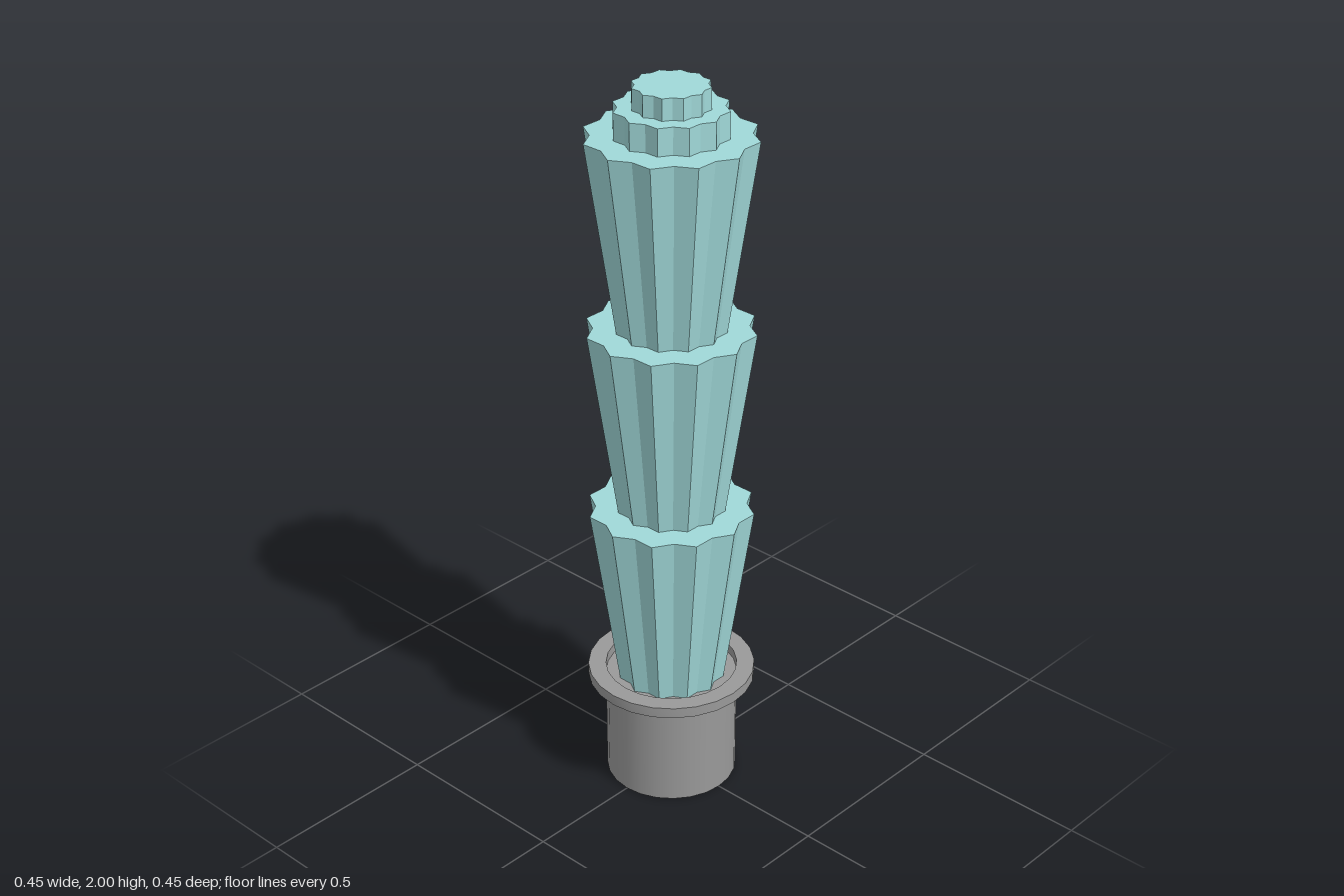
import * as THREE from 'three';
import { toCreasedNormals } from 'three/addons/utils/BufferGeometryUtils.js';

const POINTS = 12; // ribs around each fluted part

const green = new THREE.MeshStandardMaterial({ color: 0xa0d8d8, flatShading: true });
const grey = new THREE.MeshStandardMaterial({ color: 0x999999 });

// Star-shaped frustum: every second edge of a cylinder is pulled inwards
function fluted(name, rBottom, rTop, y0, y1) {
  const geo = new THREE.CylinderGeometry(rTop, rBottom, y1 - y0, POINTS * 2);
  const pos = geo.attributes.position;
  for (let i = 0; i < pos.count; i++) {
    const x = pos.getX(i), z = pos.getZ(i);
    const step = Math.round(Math.atan2(x, z) / (Math.PI / POINTS));
    const k = step % 2 === 0 ? 1 : 0.897;
    pos.setX(i, x * k);
    pos.setZ(i, z * k);
  }
  geo.computeVertexNormals();
  const mesh = new THREE.Mesh(geo, green);
  mesh.name = name;
  mesh.position.y = (y0 + y1) / 2;
  return mesh;
}

export function createModel() {
  const model = new THREE.Group();
  model.name = 'tieredColumn';

  // Round base
  const base = new THREE.Mesh(new THREE.CylinderGeometry(0.178, 0.178, 0.305, 24), grey);
  base.name = 'base';
  base.position.y = 0.1525;
  model.add(base);

  // Flat collar ring around the top of the base
  const section = [[0.178, 0.302], [0.226, 0.302], [0.226, 0.332], [0.178, 0.332], [0.178, 0.302]]
    .map(([r, y]) => new THREE.Vector2(r, y));
  const collar = new THREE.Mesh(toCreasedNormals(new THREE.LatheGeometry(section, 24), 0.6), grey);
  collar.name = 'collar';
  model.add(collar);

  // Three stacked tiers that widen upwards
  const levels = [0.305, 0.827, 1.349, 1.871];
  for (let i = 0; i < 3; i++) {
    model.add(fluted('tier' + (i + 1), 0.145, 0.222, levels[i], levels[i + 1]));
  }

  // Stepped crown
  model.add(fluted('lowerCrown', 0.147, 0.147, 1.871, 1.943));
  model.add(fluted('upperCrown', 0.1, 0.1, 1.943, 2));

  return model;
}
